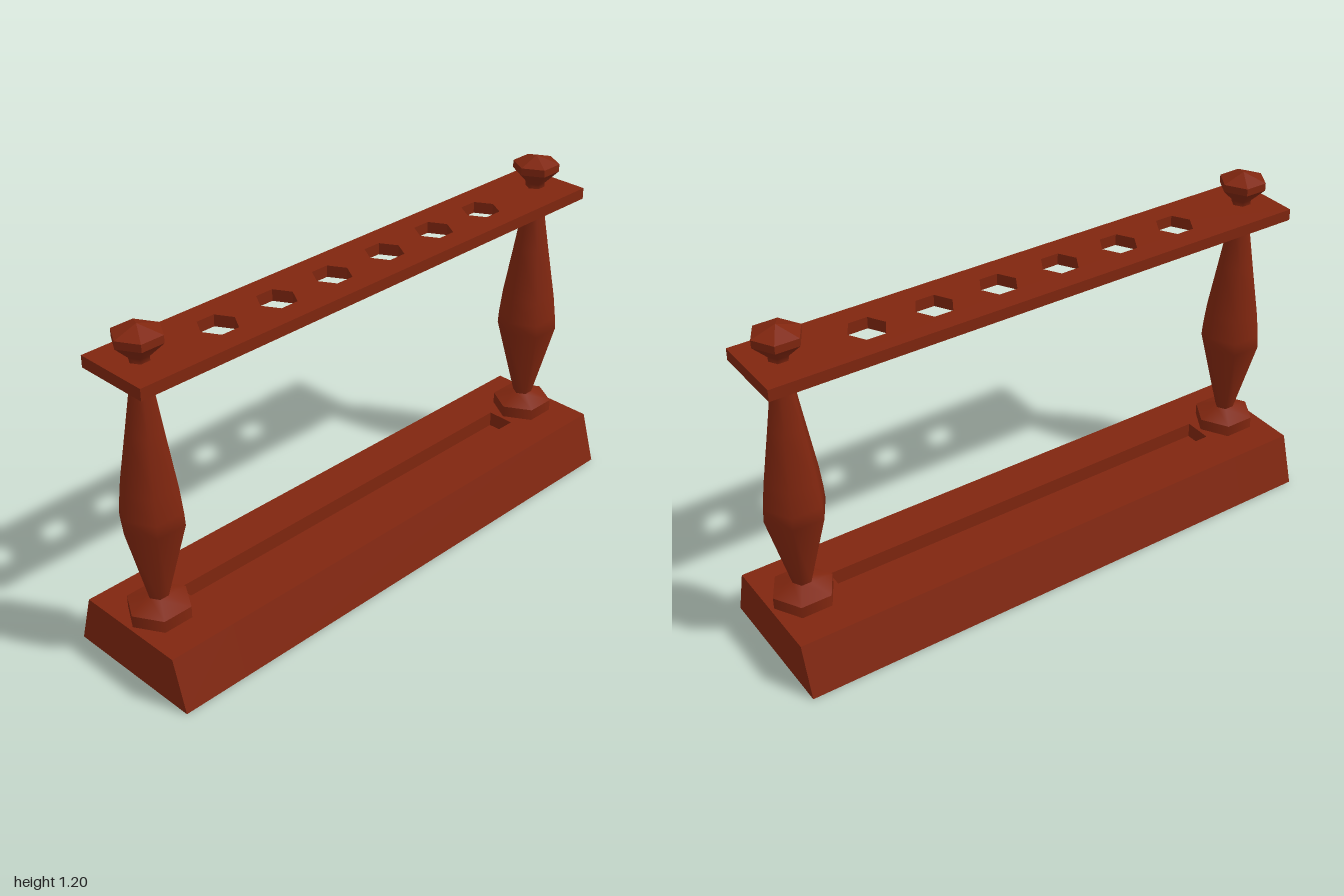
import * as THREE from 'three';

export function createModel() {
  const group = new THREE.Group();
  group.name = 'toolRack';
  const wood = new THREE.MeshStandardMaterial({ color: 0x80260f });
  wood.name = 'red brown wood';

  const add = (name, geometry, x = 0, y = 0, parent = group) => {
    const mesh = new THREE.Mesh(geometry, wood);
    mesh.name = name;
    mesh.position.set(x, y, 0);
    parent.add(mesh);
    return mesh;
  };

  // Prism along x from a (z, y) outline
  const prism = (outline, x0, x1) => {
    const shape = new THREE.Shape(outline.map(([a, b]) => new THREE.Vector2(a, b)));
    return new THREE.ExtrudeGeometry(shape, { depth: x1 - x0, bevelEnabled: false })
      .rotateY(Math.PI / 2).translate(x0, 0, 0);
  };

  // Six-sided turning with corners pointing along x
  const turned = (profile, flat = false) => {
    const points = profile.map(([r, y]) => new THREE.Vector2(r, y));
    let geometry = new THREE.LatheGeometry(points, 6, Math.PI / 6);
    if (flat) {
      geometry = geometry.toNonIndexed();
      geometry.computeVertexNormals();
    }
    return geometry;
  };

  // Base: sloped block with a long recess in its top
  const H = 0.18, floor = 0.125, slot = 0.05, slotEnd = 0.76;
  const solid = [[-0.26, 0], [0.26, 0], [0.207, H], [-0.207, H]];
  const notched = [[-0.26, 0], [0.26, 0], [0.207, H], [slot, H], [slot, floor],
    [-slot, floor], [-slot, H], [-0.207, H]];
  add('baseMiddle', prism(notched, -slotEnd, slotEnd));
  add('baseRightEnd', prism(solid, -1, -slotEnd));
  add('baseLeftEnd', prism(solid, slotEnd, 1));

  // Top shelf with six hexagonal holes
  const W = 0.983, D = 0.135;
  const shelf = new THREE.Shape([[-W, -D], [W, -D], [W, D], [-W, D]]
    .map(([a, b]) => new THREE.Vector2(a, b)));
  for (let i = 0; i < 6; i++) {
    const cx = (i - 2.5) * 0.235;
    const corners = [];
    for (let k = 0; k < 6; k++) {
      const a = -k * Math.PI / 3;
      corners.push(new THREE.Vector2(cx + 0.066 * Math.cos(a), 0.066 * Math.sin(a)));
    }
    shelf.holes.push(new THREE.Path(corners));
  }
  add('shelf', new THREE.ExtrudeGeometry(shelf, { depth: 0.04, bevelEnabled: false })
    .rotateX(-Math.PI / 2), 0, 1.045);

  // Turned posts with foot collars and finials
  for (const side of [-1, 1]) {
    const post = new THREE.Group();
    post.name = side > 0 ? 'leftPost' : 'rightPost';
    post.position.x = side * 0.88;
    group.add(post);
    add('collarSide', turned([[0.107, H], [0.107, 0.222]]), 0, 0, post);
    add('collarTop', turned([[0.107, 0.222], [0.034, 0.252]]), 0, 0, post);
    add('column', turned([[0.034, 0.25], [0.107, 0.53], [0.104, 0.575],
      [0.094, 0.66], [0.062, 0.85], [0.03, 1.045]]), 0, 0, post);
    add('finialNeck', turned([[0.034, 1.08], [0.034, 1.1], [0.081, 1.147]]), 0, 0, post);
    add('finialCap', turned([[0.081, 1.147], [0.081, 1.173], [0, 1.2]], true), 0, 0, post);
  }
  return group;
}
